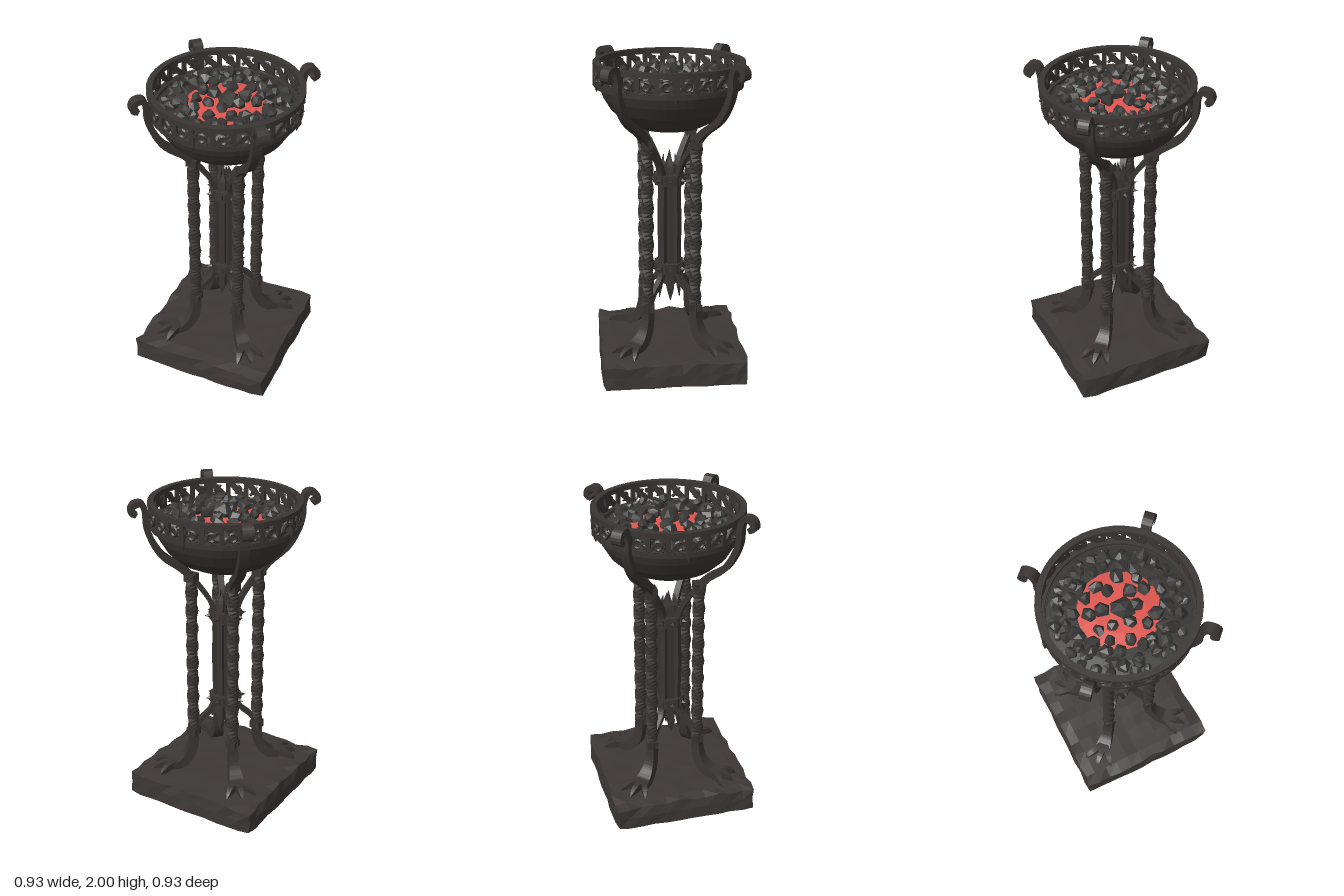
import * as THREE from 'three';
import { ConvexGeometry } from 'three/addons/geometries/ConvexGeometry.js';

let seed = 7;
const rnd = () => (seed = (seed * 16807) % 2147483647) / 2147483647;
const mat = (name, color) => new THREE.MeshStandardMaterial({ name, color, flatShading: true });

// Rectangular bar swept along [radius, y, width, thickness] stations in the xy plane
function bar(stations, steps = 4) {
  const curve = new THREE.CatmullRomCurve3(stations.map(([r, y]) => new THREE.Vector3(r, y, 0)));
  const spans = stations.length - 1, n = spans * steps, pos = [], idx = [];
  for (let i = 0; i <= n; i++) {
    const u = i / n, p = curve.getPoint(u), t = curve.getTangent(u);
    const k = Math.min(spans - 1, Math.floor(u * spans)), f = u * spans - k;
    const w = THREE.MathUtils.lerp(stations[k][2], stations[k + 1][2], f) / 2;
    const h = THREE.MathUtils.lerp(stations[k][3], stations[k + 1][3], f) / 2;
    for (const [a, b] of [[1, 1], [-1, 1], [-1, -1], [1, -1]])
      pos.push(p.x - t.y * h * a, p.y + t.x * h * a, w * b);
  }
  for (let i = 0; i < n; i++) for (let k = 0; k < 4; k++) {
    const a = i * 4 + k, b = i * 4 + (k + 1) % 4;
    idx.push(a, b, a + 4, b, b + 4, a + 4);
  }
  const e = n * 4;
  idx.push(0, 2, 1, 0, 3, 2, e, e + 1, e + 2, e, e + 2, e + 3);
  const g = new THREE.BufferGeometry();
  g.setAttribute('position', new THREE.Float32BufferAttribute(pos, 3));
  g.setIndex(idx);
  g.computeVertexNormals();
  return g;
}

const lathe = (pts, seg = 48) => new THREE.LatheGeometry(pts.map(([x, y]) => new THREE.Vector2(x, y)), seg);
const ring = (r0, r1, y0, y1) => lathe([[r0, y0], [r1, y0], [r1, y1], [r0, y1], [r0, y0]]);

// Move every vertex by a rule
function reshape(g, rule) {
  const p = g.attributes.position, v = new THREE.Vector3();
  for (let i = 0; i < p.count; i++) {
    rule(v.fromBufferAttribute(p, i));
    p.setXYZ(i, v.x, v.y, v.z);
  }
  g.computeVertexNormals();
  return g;
}

export function createModel() {
  seed = 7;
  const iron = mat('iron', 0x3a3533), stone = mat('stone', 0x3d3836);
  const coalMat = mat('coal', 0x393837), ember = mat('ember', 0xe0564f);
  const model = new THREE.Group();
  const add = (name, geo, m = iron, parent = model, x = 0, y = 0, z = 0) => {
    const mesh = new THREE.Mesh(geo, m);
    mesh.name = name;
    mesh.position.set(x, y, z);
    parent.add(mesh);
    return mesh;
  };
  const spoke = (name, angle) => {
    const g = new THREE.Group();
    g.name = name;
    g.rotation.y = angle;
    model.add(g);
    return g;
  };

  // Worn stone slab with chipped edges
  const slab = reshape(new THREE.BoxGeometry(0.92, 0.155, 0.92, 11, 2, 11), v => {
    const hash = k => { const s = Math.sin(v.x * 91.7 + v.y * 57.3 + v.z * 133.1 + k) * 4375.5; return s - Math.floor(s); };
    const ex = Math.abs(v.x) > 0.45, ez = Math.abs(v.z) > 0.45, top = v.y > 0.07;
    const a = hash(1), b = hash(2), c = hash(3);
    const chip = top ? 0.022 : 0.01;
    if (ex) v.x -= Math.sign(v.x) * a * (ez ? 0.025 : chip);
    if (ez) v.z -= Math.sign(v.z) * b * (ex ? 0.025 : chip);
    if (top) v.y -= c * (ex || ez ? 0.022 : 0.006);
  });
  add('stoneBase', slab, stone, model, 0, 0.0775, 0);

  // Four corner supports
  const twisted = reshape(new THREE.BoxGeometry(0.056, 1.08, 0.056, 1, 44, 1), v => {
    const a = v.y * 13, x = v.x, z = v.z;
    v.x = x * Math.cos(a) - z * Math.sin(a);
    v.z = x * Math.sin(a) + z * Math.cos(a);
  });
  const arm = bar([[0.212, 1.49, 0.055, 0.05], [0.27, 1.555, 0.055, 0.045], [0.385, 1.645, 0.055, 0.04],
    [0.445, 1.74, 0.055, 0.038], [0.475, 1.83, 0.055, 0.035], [0.48, 1.92, 0.055, 0.035], [0.505, 1.978, 0.06, 0.035],
    [0.55, 1.972, 0.065, 0.035], [0.565, 1.93, 0.065, 0.035], [0.535, 1.912, 0.06, 0.03]]);
  const shin = bar([[0.212, 0.44, 0.055, 0.055], [0.217, 0.33, 0.06, 0.06], [0.245, 0.24, 0.07, 0.065],
    [0.3, 0.19, 0.09, 0.06], [0.36, 0.175, 0.1, 0.04]]);
  const brace = bar([[0.21, 0.41, 0.04, 0.03], [0.165, 0.49, 0.04, 0.03], [0.095, 0.56, 0.04, 0.03],
    [0.065, 0.65, 0.04, 0.035], [0.065, 0.93, 0.04, 0.035], [0.065, 1.22, 0.04, 0.035],
    [0.095, 1.32, 0.04, 0.03], [0.15, 1.41, 0.04, 0.03], [0.21, 1.49, 0.04, 0.03]]);
  const toe = bar([[-0.03, 0.18, 0.04, 0.045], [0.05, 0.185, 0.042, 0.045], [0.1, 0.182, 0.036, 0.045],
    [0.14, 0.17, 0.022, 0.028], [0.165, 0.157, 0.003, 0.004]], 3);
  for (let i = 0; i < 4; i++) {
    const s = spoke('support', Math.PI / 4 + i * Math.PI / 2);
    add('twistedLeg', twisted, iron, s, 0.212, 0.95, 0);
    for (const y of [0.41, 1.49]) {
      add('legCuff', new THREE.BoxGeometry(0.068, 0.05, 0.068), iron, s, 0.212, y, 0).rotation.y = Math.PI / 4;
    }
    add('bowlArm', arm, iron, s);
    add('lowerLeg', shin, iron, s);
    add('centreBrace', brace, iron, s);
    for (const a of [-0.6, 0, 0.6]) add('clawToe', toe, iron, s, 0.32, 0, 0).rotation.y = a;
  }

  // Central bundle of pointed rods
  add('centrePole', new THREE.CylinderGeometry(0.045, 0.045, 0.8, 8), iron, model, 0, 0.92, 0);
  add('poleTip', new THREE.ConeGeometry(0.03, 0.14, 4), iron, model, 0, 1.345, 0);
  const rod = bar([[0.065, 0.42, 0.004, 0.004], [0.06, 0.5, 0.045, 0.025], [0.05, 0.6, 0.04, 0.035],
    [0.052, 0.92, 0.04, 0.035], [0.05, 1.23, 0.04, 0.035], [0.045, 1.31, 0.04, 0.025], [0.035, 1.38, 0.004, 0.004]]);
  for (let i = 0; i < 4; i++) add('pointedRod', rod, iron, spoke('rodMount', i * Math.PI / 2));
  add('lowerPoint', new THREE.ConeGeometry(0.03, 0.13, 4), iron, model, 0, 0.485, 0).rotation.x = Math.PI;

  // Spiked collars
  for (const y of [0.64, 1.225]) {
    add('collar', new THREE.CylinderGeometry(0.1, 0.1, 0.066, 8).rotateY(Math.PI / 8), iron, model, 0, y, 0);
    for (let i = 0; i < 8; i++) {
      const s = spoke('collarSpike', i * Math.PI / 4);
      add('spikePad', new THREE.BoxGeometry(0.014, 0.044, 0.04), iron, s, 0.095, y, 0);
      add('spike', new THREE.ConeGeometry(0.017, 0.035, 4).rotateZ(-Math.PI / 2), iron, s, 0.115, y, 0);
    }
  }

  // Bowl with inner wall, and the two rims of the openwork band
  add('bowl', lathe([[0, 1.535], [0.1, 1.542], [0.2, 1.565], [0.29, 1.61], [0.36, 1.675], [0.405, 1.75],
    [0.43, 1.82], [0.41, 1.82], [0.385, 1.75], [0.3, 1.64], [0, 1.56]]));
  add('lowerRim', ring(0.415, 0.452, 1.812, 1.84));
  add('upperRim', ring(0.425, 0.462, 1.935, 1.967));

  // Openwork band: pierced cells bent round the bowl
  const cells = 24, R = 0.45, cw = 2 * Math.PI * R / cells, y0 = 1.835, y1 = 1.94;
  const poly = (C, pts) => { const s = new C(); pts.forEach(([x, y], i) => i ? s.lineTo(x, y) : s.moveTo(x, y)); s.closePath(); return s; };
  const cell = poly(THREE.Shape, [[0, y0], [cw, y0], [cw, y1], [0, y1]]);
  cell.holes.push(
    poly(THREE.Path, [[0.014, y0 + 0.03], [0.014, y1 - 0.008], [0.078, y1 - 0.008]]),
    poly(THREE.Path, [[cw - 0.014, y1 - 0.03], [cw - 0.014, y0 + 0.008], [cw - 0.078, y0 + 0.008]]));
  const pierced = reshape(new THREE.ExtrudeGeometry(cell, { depth: 0.016, bevelEnabled: false }), v => {
    const a = v.x / R, r = R - 0.016 + v.z;
    v.x = Math.sin(a) * r;
    v.z = Math.cos(a) * r;
  });
  const scroll = new THREE.TorusGeometry(0.024, 0.008, 4, 12, 5);
  for (let i = 0; i < cells; i++) {
    const s = spoke('bandCell', i * 2 * Math.PI / cells);
    add('piercedPanel', pierced, iron, s);
    const half = spoke('bandScroll', (i + 0.5) * 2 * Math.PI / cells);
    add('scroll', scroll, iron, half, 0, (y0 + y1) / 2, R).rotation.z = i % 2 ? 0.4 : 3.5;
    add('leaf', new THREE.OctahedronGeometry(0.013), iron, half, 0.03, i % 2 ? 1.915 : 1.86, R);
  }

  // Plaques on the four sides
  for (let i = 0; i < 4; i++) {
    const s = spoke('plaque', i * Math.PI / 2);
    add('plaqueBar', new THREE.BoxGeometry(0.028, 0.13, 0.02), iron, s, 0, 1.885, 0.454);
    add('plaqueCross', new THREE.BoxGeometry(0.06, 0.022, 0.018), iron, s, 0, 1.9, 0.454);
    add('plaquePoint', new THREE.ConeGeometry(0.02, 0.05, 4).rotateX(Math.PI), iron, s, 0, 1.80, 0.442);
  }

  // Coal bed with a glowing middle
  add('coalBed', lathe([[0.415, 1.815], [0.3, 1.84], [0, 1.855]], 32), coalMat);
  add('emberBed', lathe([[0.24, 1.852], [0.15, 1.864], [0, 1.868]], 20), ember);
  const lumps = Array.from({ length: 8 }, () => new ConvexGeometry(Array.from({ length: 13 }, (_, i) => {
    const y = 1 - 2 * (i + 0.5) / 13, a = i * 2.4 + rnd() * 0.8, h = Math.sqrt(1 - y * y), k = 0.85 + rnd() * 0.3;
    return new THREE.Vector3(Math.cos(a) * h * k, y * k, Math.sin(a) * h * k);
  })));
  const coals = new THREE.Group();
  coals.name = 'coals';
  model.add(coals);
  // Each ring: count, radius, lump size, height
  [[1, 0.01, 0.062, 1.885], [6, 0.105, 0.042, 1.885], [11, 0.19, 0.042, 1.875], [17, 0.265, 0.043, 1.865],
    [21, 0.33, 0.042, 1.85], [24, 0.365, 0.033, 1.84], [16, 0.3, 0.034, 1.885]].forEach(([n, r, size, y], k) => {
    for (let i = 0; i < n; i++) {
      const a = (i + k * 0.4 + (rnd() - 0.5) * 0.5) / n * Math.PI * 2, rr = r + (rnd() - 0.5) * 0.035;
      const c = add('coalLump', lumps[Math.floor(rnd() * 8)], coalMat, coals,
        Math.cos(a) * rr, y + (rnd() - 0.5) * 0.02, Math.sin(a) * rr);
      c.rotation.set(rnd() * 6, rnd() * 6, rnd() * 6);
      c.scale.set(1, 0.8 + rnd() * 0.3, 0.85 + rnd() * 0.35).multiplyScalar(size * (0.85 + rnd() * 0.3));
    }
  });
  // Turn upward faces of the open beds outward on both sides
  for (const m of [coalMat, ember]) m.side = THREE.DoubleSide;
  return model;
}
